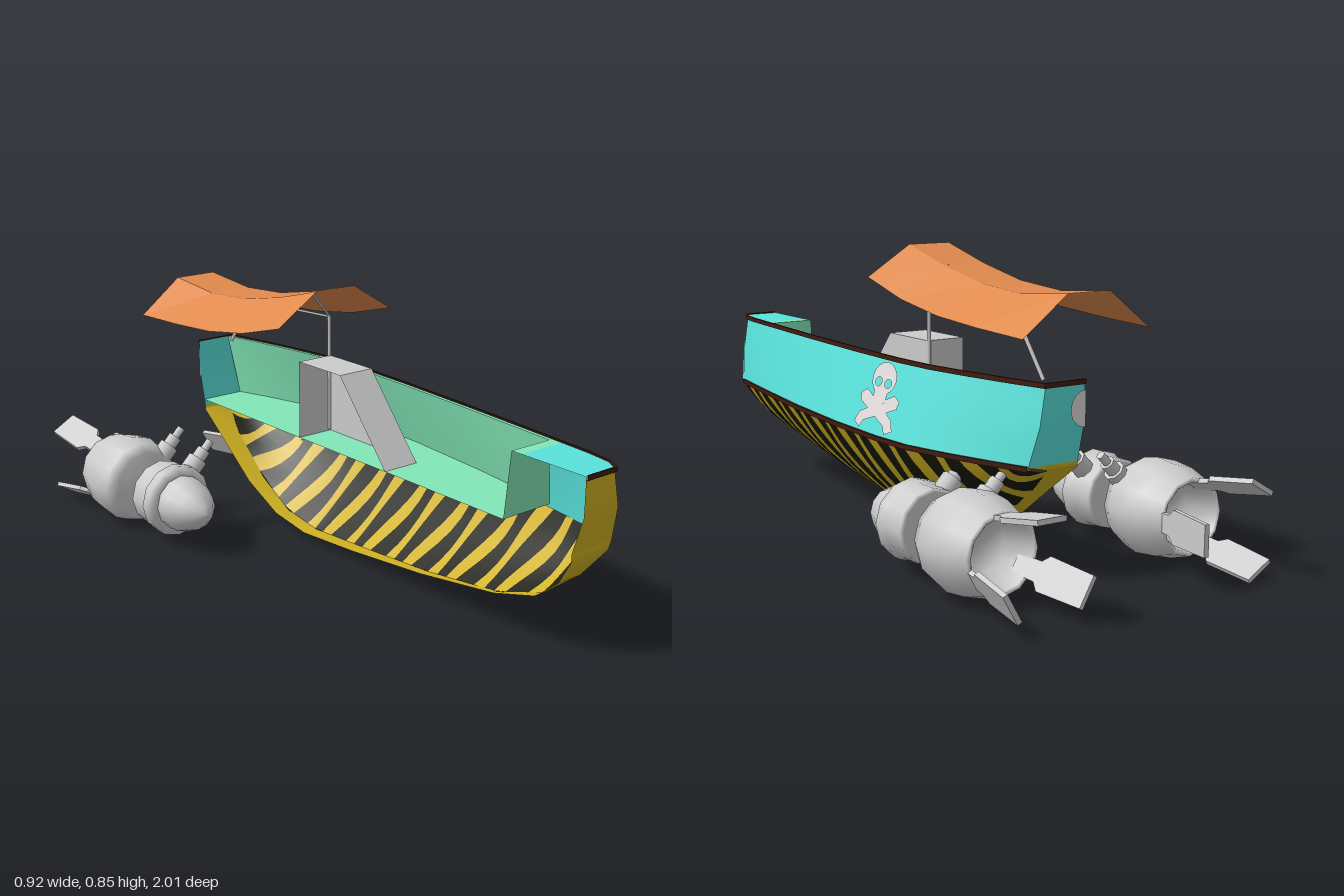
import * as THREE from 'three';

const mat = (name, color) => {
  const m = new THREE.MeshStandardMaterial({ color, side: THREE.DoubleSide });
  m.name = name;
  return m;
};

// Hull stations from bow to stern: z, chine half-width, gunwale half-width, keel height, keel half-width
const STATIONS = [
  [0.97, 0.155, 0.107, 0.3, 0.145], [0.93, 0.166, 0.132, 0.23, 0.085], [0.85, 0.18, 0.145, 0.165, 0.035],
  [0.7, 0.203, 0.158, 0.12, 0.015], [0.4, 0.245, 0.183, 0.075, 0.028], [0.1, 0.275, 0.203, 0.045, 0.045],
  [-0.15, 0.286, 0.213, 0.028, 0.05], [-0.3, 0.28, 0.208, 0.05, 0.05], [-0.45, 0.245, 0.185, 0.12, 0.06],
  [-0.6, 0.2, 0.155, 0.235, 0.07], [-0.7, 0.165, 0.13, 0.31, 0.1],
];
const CHINE = 0.325, GUNWALE = 0.545, FLOOR = 0.345;
const lerp = THREE.MathUtils.lerp;

function station(z) {
  const n = STATIONS.length;
  if (z >= STATIONS[0][0]) return STATIONS[0];
  for (let i = 1; i < n; i++) {
    const a = STATIONS[i - 1], b = STATIONS[i];
    if (z >= b[0]) return a.map((v, k) => lerp(v, b[k], (z - a[0]) / (b[0] - a[0])));
  }
  return STATIONS[n - 1];
}

// Point on the topside, t = 0 at the chine and 1 at the gunwale
function topside(z, t, inset = 0) {
  const [zc, xl, xu] = station(z);
  return [lerp(xl, xu, t) - inset, lerp(CHINE, GUNWALE, t), zc * (1 + 0.035 * Math.min(1, 2 * t))];
}

// Point on the bottom panel, t = 0 at the keel and 1 at the chine
function bottom(z, t) {
  const [zc, xl, , k, w] = station(z);
  const bulge = 0.02 * Math.sin(Math.PI * t) * Math.min(1, (xl - w - 0.01) * 8);
  return [lerp(w, xl, t) + bulge * 0.8, lerp(k, CHINE, t) - bulge * 0.7, zc];
}

// Skin through rows of points; pick(i) chooses the material index of each strip
function skin(rows, pick) {
  const w = rows[0].length, index = [], g = new THREE.BufferGeometry();
  for (let i = 0; i < rows.length - 1; i++) {
    if (pick) g.addGroup(index.length, (w - 1) * 6, pick(i));
    for (let j = 0; j < w - 1; j++) {
      const a = i * w + j, b = a + w;
      index.push(a, b, a + 1, b, b + 1, a + 1);
    }
  }
  g.setAttribute('position', new THREE.Float32BufferAttribute(rows.flat(2), 3));
  g.setIndex(index);
  g.computeVertexNormals();
  return g;
}

function flat(geo) {
  const g = geo.toNonIndexed();
  g.computeVertexNormals();
  return g;
}

export function createModel() {
  const root = new THREE.Group();
  root.name = 'halfBoat';
  const cyan = mat('cyan paint', 0x59e2db), mint = mat('mint interior', 0x83e8b8);
  const yellow = mat('yellow hull', 0xd0b222), black = mat('stripe black', 0x17180a);
  const brown = mat('dark wood', 0x3f1c10), orange = mat('orange canvas', 0xe08a4d);
  const grey = mat('grey metal', 0xcccccc), white = mat('pale paint', 0xe2dcdc), steel = mat('strut steel', 0xa9b4bc);
  const add = (name, geo, material, parent = root) => {
    const m = new THREE.Mesh(geo, material);
    m.name = name;
    parent.add(m);
    return m;
  };
  const zs = STATIONS.map(s => s[0]);
  const bow = zs[0], stern = zs[zs.length - 1];
  const ts = [0, 0.25, 0.5, 0.75, 1];
  const toCentre = p => [p, [0, p[1], p[2]]];
  const fromCentre = p => [[0, p[1], p[2]], p];

  // Topside, transom and bow plate
  add('topside', skin(zs.map(z => ts.map(t => topside(z, t)))), cyan);
  add('transom', skin(ts.map(t => fromCentre(topside(stern, t)))), cyan);
  add('bowPlate', skin(ts.map(t => toCentre(topside(bow, t)))), yellow);

  // Keel strip
  const keel = [topside(bow, 0), ...zs.map(z => bottom(z, 0)), topside(stern, 0)];
  add('keelStrip', skin(keel.map(fromCentre)), yellow);

  // Striped bottom: slanted bands cut the panel into alternating colours
  const rows = [];
  for (let i = 0; i < 40; i++) {
    const u = 1.08 - i * 0.05 + (i % 2 ? 0.004 : -0.004);
    rows.push([0, 0.14, 0.28, 0.43, 0.57, 0.71, 0.85, 1].map(t => {
      const z = u + 0.08 * (t - 0.5) + 0.012 * Math.sin(31 * u + 5 * t);
      return bottom(THREE.MathUtils.clamp(z, stern, bow), t);
    }));
  }
  add('stripedBottom', skin(rows, i => (i > 2 && i % 2 ? 1 : 0)), [yellow, black]);

  // Cockpit lining, floor, bulkhead, gunwale cap and foredeck
  const tf = (FLOOR - CHINE) / (GUNWALE - CHINE);
  const aft = 0.72;
  const inner = [aft, ...zs.filter(z => z < aft)];
  add('cockpitLining', skin(inner.map(z => [topside(z, 1, 0.012), topside(z, tf, 0.012)])), mint);
  add('gunwaleCap', skin(inner.map(z => [topside(z, 1, 0.012), topside(z, 1)])).scale(1, -1, 1).translate(0, 2 * GUNWALE, 0), mint);
  add('cockpitFloor', skin(inner.map(z => toCentre(topside(z, tf, 0.012)))), mint);
  add('bulkhead', skin([tf, 1].map(t => fromCentre(topside(aft, t, 0.012)))), mint);
  const deck = list => skin(list.map(z => toCentre(topside(z, 1))));
  add('foredeck', deck([bow, 0.93, 0.85, 0.755]), cyan);
  add('deckEdge', deck([0.755, aft]), mint);

  // Thin wooden rails wrapped around the outside; each row holds a point and its outward direction
  const rail = (name, path, y) => add(name, flat(skin(path.map(([[x, , z], dx, dz]) =>
    [[0, -0.008], [0.007, -0.008], [0.007, 0.006], [0, 0.006]].map(([o, h]) => [x + o * dx, y + h, z + o * dz])))), brown);
  const edge = t => zs.map(z => [topside(z, t), 1, z === bow ? 0.7 : z === stern ? -0.7 : 0]);
  const ends = [topside(bow, 1), topside(stern, 1)].map(p => [0, 0, p[2]]);
  rail('gunwaleRail', [[ends[0], 0, 0.7], ...edge(1), [ends[1], 0, -0.7]], 0.543);
  rail('chineRail', edge(0).slice(1), CHINE - 0.002);

  // Painted skull and crossed bones, laid on the topside
  const ellipse = (x, y, rx, ry) => new THREE.Shape().absellipse(x, y, rx, ry, 0, Math.PI * 2);
  const head = ellipse(0, 0.043, 0.066, 0.053);
  head.holes.push(ellipse(-0.026, 0.03, 0.018, 0.015), ellipse(0.028, 0.03, 0.018, 0.015));
  const poly = pts => new THREE.Shape(pts.map(p => new THREE.Vector2(...p)));
  const bone = s => poly([[-0.105, 0.02], [-0.075, 0.035], [0.09, -0.042], [0.105, -0.075], [0.07, -0.09], [0.055, -0.065], [-0.1, -0.005]]
    .map(([x, y]) => [x * s, y - 0.036]));
  const jaw = poly([[-0.038, 0.005], [-0.034, -0.034], [0.034, -0.034], [0.038, 0.005]]);
  const emblem = new THREE.ShapeGeometry([head, jaw, bone(1), bone(-1)], 8);
  const ep = emblem.attributes.position;
  for (let i = 0; i < ep.count; i++) {
    const z = -0.115 - ep.getX(i), y = 0.447 + ep.getY(i) * 0.87;
    const p = topside(z / 1.035, (y - CHINE) / (GUNWALE - CHINE));
    ep.setXYZ(i, p[0] + 0.005, y, z);
  }
  emblem.computeVertexNormals();
  add('paintedSkull', emblem, white);
  const half = new THREE.CircleGeometry(0.05, 12, Math.PI / 2, Math.PI);
  add('transomPaint', half.rotateY(Math.PI), white).position.set(0, 0.47, -0.729);

  // Console with sloping front, open on the centreline
  const profile = [[-0.17, FLOOR], [-0.17, 0.592], [0.03, 0.592], [0.24, FLOOR]];
  add('consoleShell', flat(skin(profile.map(([z, y]) => [[0.125, y, z], [0, y, z]]))), grey);
  const cheek = new THREE.ShapeGeometry(poly(profile.map(([z, y]) => [-z, y])));
  add('consoleSide', cheek.rotateY(Math.PI / 2).translate(0.125, 0, 0), grey);

  // Canopy and its struts
  const roof = [[0.012, 0.855, 0.765], [-0.17, 0.806, 0.716], [-0.35, 0.77, 0.688], [-0.53, 0.757, 0.676], [-0.732, 0.775, 0.668]];
  const canopy = skin(roof.map(([z, top, low]) =>
    [[-0.213, low, z], [-0.073, top, z], [0.068, top, z], [0.213, low, z]]));
  add('canopy', flat(canopy), orange);
  const strut = (a, b, r, m, parent = root, name = 'canopyStrut') => {
    const A = new THREE.Vector3(...a), B = new THREE.Vector3(...b), d = B.clone().sub(A);
    const s = add(name, new THREE.CylinderGeometry(r, r, d.length(), 8), m, parent);
    s.position.copy(A).lerp(B, 0.5);
    s.quaternion.setFromUnitVectors(new THREE.Vector3(0, 1, 0), d.normalize());
  };
  strut([0.12, 0.35, -0.17], [0.12, 0.72, -0.17], 0.006, grey);
  strut([0.12, 0.72, -0.17], [0.05, 0.805, -0.17], 0.004, steel);
  strut([0.12, 0.718, -0.17], [0.118, 0.695, -0.59], 0.004, steel);
  strut([0.118, 0.695, -0.59], [0.095, 0.545, -0.67], 0.006, grey);

  // Engines: stacked lathes (radius, z), three paddle fins and two stepped mounts
  const parts = {
    nozzleBody: [[0, -0.7], [0.08, -0.7], [0.098, -0.8], [0.112, -0.8], [0.134, -0.73], [0.142, -0.66], [0.132, -0.61], [0.112, -0.57], [0, -0.57]],
    neck: [[0.045, -0.58], [0.045, -0.555], [0.056, -0.55], [0.056, -0.53], [0.04, -0.525], [0.04, -0.49]],
    collar: [[0, -0.5], [0.098, -0.5], [0.106, -0.49], [0.106, -0.42], [0.115, -0.415], [0.115, -0.385], [0.09, -0.37], [0, -0.37]],
    noseCone: [[0.088, -0.375], [0.086, -0.33], [0.064, -0.275], [0.028, -0.232], [0, -0.222]],
  };
  const finShape = poly([[-0.026, 0], [-0.028, 0.08], [-0.048, 0.1], [-0.044, 0.245], [0.044, 0.245], [0.048, 0.1], [0.028, 0.08], [0.026, 0]]);
  for (const s of [1, -1]) {
    const engine = new THREE.Group();
    engine.name = s > 0 ? 'leftEngine' : 'rightEngine';
    engine.position.set(0.32 * s, 0.145, 0);
    root.add(engine);
    for (const [name, pts] of Object.entries(parts)) {
      const g = new THREE.LatheGeometry(pts.map(p => new THREE.Vector2(...p)), 12);
      add(name, g.rotateX(Math.PI / 2), grey, engine);
    }
    for (let i = 0; i < 3; i++) {
      const fin = new THREE.ExtrudeGeometry(finShape, { depth: 0.014, bevelEnabled: false });
      fin.rotateX(-Math.PI / 2).rotateX(0.17).translate(0, 0.084, -0.755);
      const turn = (s > 0 ? 0 : -Math.PI / 2) + i * Math.PI * 2 / 3;
      add('fin', fin, grey, engine).rotation.z = turn;
    }
    for (const z of [-0.43, -0.6]) {
      [[0.07, 0.15, 0.032], [0.15, 0.185, 0.022], [0.185, 0.22, 0.013]].forEach(([a, b, r]) => {
        const k = Math.SQRT1_2;
        strut([-s * a * k, a * k, z], [-s * b * k, b * k, z], r, grey, engine, 'engineMount');
      });
    }
  }
  return root;
}
